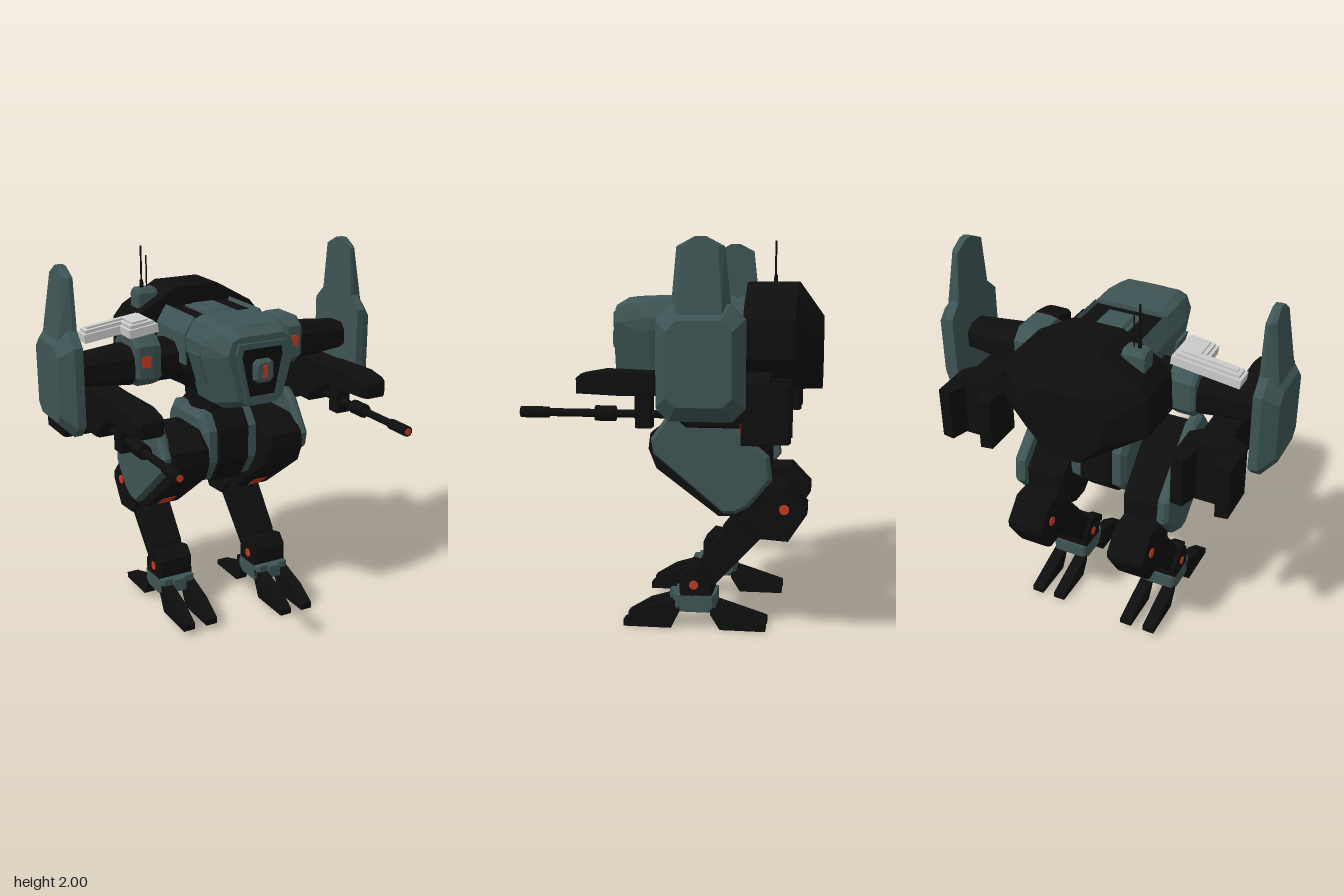
import * as THREE from 'three';
import { ConvexGeometry } from 'three/addons/geometries/ConvexGeometry.js';

const paint = (name, color) => {
  const m = new THREE.MeshStandardMaterial({ color });
  m.name = name;
  return m;
};

export function createModel() {
  const model = new THREE.Group();
  model.name = 'walkerRobot';
  const black = paint('black', 0x0e0e0e), teal = paint('slateTeal', 0x3e5454);
  const red = paint('signalRed', 0xc63a20), grey = paint('lightGrey', 0xcccccc);

  const add = (parent, name, mat, geo) => {
    const mesh = new THREE.Mesh(geo, mat);
    mesh.name = name;
    parent.add(mesh);
    return mesh;
  };
  const group = (name, parent = model) => {
    const g = new THREE.Group();
    g.name = name;
    parent.add(g);
    return g;
  };
  const hull = (parent, name, mat, pts) =>
    add(parent, name, mat, new ConvexGeometry(pts.map((p) => new THREE.Vector3(...p))));
  // box given by its limits
  const box = (parent, name, mat, [x0, x1], [y0, y1], [z0, z1]) => {
    const m = add(parent, name, mat, new THREE.BoxGeometry(Math.abs(x1 - x0), y1 - y0, z1 - z0));
    m.position.set((x0 + x1) / 2, (y0 + y1) / 2, (z0 + z1) / 2);
    return m;
  };
  const rod = (parent, name, mat, axis, r, len, pos, sides = 10) => {
    const g = new THREE.CylinderGeometry(r, r, len, sides);
    if (axis === 'x') g.rotateZ(Math.PI / 2);
    if (axis === 'z') g.rotateX(Math.PI / 2);
    const m = add(parent, name, mat, g);
    m.position.set(...pos);
    return m;
  };
  // side profile [z, y] lofted across x; levels are [x, scale about the centre]
  const slab = (parent, name, mat, profile, levels) => {
    const mid = (i) => {
      const v = profile.map((p) => p[i]);
      return (Math.min(...v) + Math.max(...v)) / 2;
    };
    const cz = mid(0), cy = mid(1);
    return hull(parent, name, mat, levels.flatMap(([x, k]) =>
      profile.map(([z, y]) => [x, cy + (y - cy) * k, cz + (z - cz) * k])));
  };
  // half outline [x, y] mirrored at depth z
  const ring = (half, z) => half.flatMap(([x, y]) => [[x, y, z], [-x, y, z]]);

  // --- torso ---
  const torso = group('torso');
  const rear = [[0.13, 1.78], [0.33, 1.665], [0.385, 1.6], [0.395, 1.4], [0.08, 1.225]];
  hull(torso, 'rearHull', black, [...ring(rear, -0.34), ...ring(rear, -0.6),
    ...ring([[0.13, 1.6], [0.22, 1.5], [0.2, 1.36], [0.08, 1.23]], -0.73)]);
  const fore = [[0.19, 1.68], [0.24, 1.6], [0.24, 1.42], [0.12, 1.25]];
  hull(torso, 'foreHull', black, [...ring(fore, -0.36), ...ring(fore, 0.02)]);
  box(torso, 'waist', black, [-0.09, 0.09], [1.1, 1.3], [-0.32, -0.02]);
  slab(torso, 'roofHatch', teal, [[-0.31, 1.66], [-0.31, 1.69], [-0.05, 1.69], [-0.05, 1.66]],
    [[-0.09, 1], [0.09, 1]]);
  hull(torso, 'hatchCap', teal, [...ring([[0.06, 1.705]], -0.27), ...ring([[0.06, 1.705]], -0.09),
    ...ring([[0.08, 1.68]], -0.3), ...ring([[0.08, 1.68]], -0.06)]);
  for (const s of [1, -1])
    hull(torso, 'roofTrim', teal, [-0.33, 0].flatMap((z) =>
      [[0.185, 1.68], [0.195, 1.70], [0.25, 1.61], [0.25, 1.45], [0.235, 1.45]].map(([x, y]) => [x * s, y, z])));

  // --- head ---
  const head = group('head');
  const wide = [[0.15, 1.705], [0.2, 1.685], [0.245, 1.6], [0.24, 1.52], [0.175, 1.28], [0.11, 1.24]];
  const nose = [[0.12, 1.66], [0.165, 1.64], [0.19, 1.57], [0.125, 1.33], [0.08, 1.3]];
  hull(head, 'headShell', teal, [...ring(wide, 0), ...ring(wide, 0.16),
    ...ring([[0.14, 1.70], [0.19, 1.67]], 0.28), ...ring(nose, 0.35)]);
  const trapezoid = (k) => [[-0.11, 0.12], [0.11, 0.12], [0.12, 0.08], [0.075, -0.13], [-0.075, -0.13], [-0.12, 0.08]]
    .map(([x, y]) => new THREE.Vector2(x * k, 1.48 + y * k));
  const frame = new THREE.Shape(trapezoid(1.22));
  frame.holes.push(new THREE.Path(trapezoid(0.98)));
  add(head, 'windowFrame', teal, new THREE.ExtrudeGeometry(frame, { depth: 0.02, bevelEnabled: false })).position.z = 0.345;
  add(head, 'window', black, new THREE.ExtrudeGeometry(new THREE.Shape(trapezoid(1)),
    { depth: 0.008, bevelEnabled: false })).position.z = 0.347;
  const eye = [[0.035, 1.54], [0.055, 1.52], [0.055, 1.44], [0.035, 1.42]];
  hull(head, 'sensor', teal, [...ring(eye, 0.35), ...ring(eye, 0.375),
    ...ring([[0.03, 1.525], [0.04, 1.51], [0.04, 1.45], [0.03, 1.435]], 0.39)]);
  box(head, 'sensorSlit', red, [-0.013, 0.013], [1.45, 1.515], [0.387, 0.394]);
  const lid = box(head, 'browPanel', teal, [-0.07, 0.07], [1.685, 1.695], [0.22, 0.29]);
  lid.position.y = 1.695;
  lid.rotation.x = 0.12;
  for (const s of [1, -1])
    hull(head, 'cheekPanel', teal, [[0.246, 1.54, 0.04], [0.246, 1.54, 0.16], [0.2, 1.38, 0.04], [0.2, 1.38, 0.16],
      [0.225, 1.54, 0.04], [0.225, 1.54, 0.16], [0.18, 1.38, 0.04], [0.18, 1.38, 0.16]].map(([x, y, z]) => [(x + 0.012) * s, y, z]));

  // --- antenna box ---
  const mast = group('antennaBox');
  slab(mast, 'antennaHousing', teal, [[-0.51, 1.6], [-0.51, 1.75], [-0.49, 1.775], [-0.43, 1.775], [-0.41, 1.75], [-0.41, 1.6]],
    [[-0.32, 0.9], [-0.305, 1], [-0.215, 1], [-0.2, 0.9]]);
  rod(mast, 'tallAntenna', black, 'y', 0.005, 0.24, [-0.275, 1.88, -0.46], 6);
  rod(mast, 'shortAntenna', black, 'y', 0.004, 0.19, [-0.245, 1.85, -0.46], 6);
  rod(mast, 'antennaFoot', black, 'y', 0.01, 0.05, [-0.275, 1.79, -0.46], 6);

  // --- L-shaped launcher on the right arm ---
  const launcher = group('launcher');
  launcher.position.set(-0.54, 1.63, -0.2);
  launcher.rotation.z = 0.13;
  const ell = (a) => new THREE.Shape([[-0.18 + a, 0.1 - a], [0.18 - a, 0.1 - a], [0.18 - a, -0.12 + a],
    [0.02 + a, -0.12 + a], [0.02 + a, 0 + a], [-0.18 + a, 0 + a]].map((p) => new THREE.Vector2(...p)));
  [[0, -0.03, 0.045], [0.015, 0.01, 0.022], [0.035, 0.03, 0.012]].forEach(([inset, y, depth]) => {
    const g = new THREE.ExtrudeGeometry(ell(inset), { depth, bevelEnabled: false }).rotateX(-Math.PI / 2);
    add(launcher, 'launcherLayer', grey, g).position.y = y;
  });

  // --- pelvis ---
  const pelvis = group('pelvis');
  const hip = [[-0.34, 1.16], [0, 1.16], [0.06, 1.08], [0.06, 0.9], [-0.02, 0.78], [-0.3, 0.78], [-0.4, 0.88], [-0.4, 1.08]];
  slab(pelvis, 'pelvisCore', black, hip.map(([z, y]) => [z * 1.05 + 0.01, 0.97 + (y - 0.97) * 1.06]),
    [[-0.095, 0.95], [-0.08, 1], [0.08, 1], [0.095, 0.95]]);
  rod(pelvis, 'hipAxle', black, 'x', 0.09, 0.44, [0, 0.98, -0.14]);
  rod(pelvis, 'waistRing', black, 'y', 0.13, 0.1, [0, 1.2, -0.17], 12);

  for (const s of [1, -1]) {
    const side = s > 0 ? 'left' : 'right';
    const lv = (...levels) => levels.map(([x, k]) => [x * s, k]);
    const xs = (a, b) => [a * s, b * s];
    slab(pelvis, 'hipPlate', teal, hip, lv([0.085, 1], [0.14, 1], [0.165, 0.85]));

    // --- arm ---
    const arm = group(side + 'Arm');
    const collar = [[-0.33, 1.4], [-0.33, 1.55], [-0.27, 1.61], [-0.11, 1.61], [-0.05, 1.56], [-0.05, 1.39], [-0.1, 1.345], [-0.28, 1.345]];
    slab(arm, 'shoulderCollar', teal, collar, lv([0.36, 0.95], [0.4, 1], [0.48, 1], [0.5, 0.92]));
    box(arm, 'collarLamp', red, xs(0.42, 0.47), [1.45, 1.51], [-0.052, -0.044]);
    slab(arm, 'upperArm', black, [[-0.3, 1.39], [-0.3, 1.5], [-0.25, 1.55], [-0.12, 1.55], [-0.07, 1.5], [-0.07, 1.39], [-0.12, 1.35], [-0.25, 1.35]],
      lv([0.2, 1], [0.5, 1], [0.83, 0.72]));
    slab(arm, 'shoulderShield', teal, [[0.02, 1.62], [-0.05, 1.69], [-0.325, 1.69], [-0.395, 1.62], [-0.395, 1.21],
      [-0.335, 1.15], [-0.04, 1.15], [0.02, 1.21]], lv([0.815, 1], [0.86, 1], [0.93, 0.73]));
    const fin = [[-0.05, 1.6], [-0.05, 1.68], [-0.075, 1.95], [-0.16, 1.995], [-0.21, 1.995], [-0.295, 1.95], [-0.325, 1.68], [-0.325, 1.6]];
    hull(arm, 'shieldFin', teal, fin.flatMap(([z, y]) =>
      [[0.815 * s, y, z], [0.835 * s, y, z], [(0.855 + (2 - y) * 0.14) * s, y, -0.187 + (z + 0.187) * 0.75]]));

    // --- gun under the arm ---
    const gun = group(side + 'Gun', arm);
    hull(gun, 'gunBlock', black, [-0.37, -0.5].flatMap((z) =>
      [[0.5, 1.04], [0.52, 1.03], [0.78, 1.03], [0.8, 1.04], [0.8, 1.32], [0.72, 1.36], [0.58, 1.36], [0.5, 1.32]].map(([x, y]) => [x * s, y, z])));
    for (const [a, b, c] of [[0.5, 0.6, 0.565], [0.8, 0.7, 0.735]])
      hull(gun, 'blockProng', black, [1.04, 1.32].flatMap((y) =>
        [[a * s, y, -0.49], [b * s, y, -0.49], [c * s, y, -0.6], [a * s, y, -0.59]]));
    slab(gun, 'gunSpine', black, [[-0.4, 1.1], [-0.4, 1.36], [0.04, 1.36], [0.04, 1.22], [-0.1, 1.1]],
      lv([0.57, 0.92], [0.59, 1], [0.7, 1], [0.72, 0.92]));
    slab(gun, 'gunCasing', black, [[0.0, 1.25], [0.0, 1.36], [0.3, 1.37], [0.41, 1.35], [0.435, 1.33], [0.435, 1.255], [0.2, 1.245]],
      lv([0.575, 0.9], [0.6, 1], [0.7, 1], [0.725, 0.9]));
    box(gun, 'barrelBracket', black, xs(0.61, 0.69), [1.09, 1.27], [0.07, 0.15]);
    rod(gun, 'barrel', black, 'z', 0.02, 0.98, [0.65 * s, 1.155, 0.11]);
    rod(gun, 'barrelCollar', black, 'z', 0.038, 0.1, [0.65 * s, 1.155, 0.3]);
    rod(gun, 'muzzle', black, 'z', 0.028, 0.14, [0.65 * s, 1.155, 0.653]);
    rod(gun, 'muzzleTip', red, 'z', 0.018, 0.006, [0.65 * s, 1.155, 0.724]);
    rod(gun, 'gunMount', black, 'y', 0.06, 0.16, [0.65 * s, 1.4, -0.19], 8);
    for (const x of [0.535, 0.755]) {
      box(gun, 'gunLamp', red, xs(x - 0.012, x + 0.012), [1.27, 1.3], [-0.373, -0.365]);
      box(gun, 'gunLightBar', red, xs(x - 0.01, x + 0.01), [1.08, 1.19], [-0.373, -0.365]);
    }

    // --- leg ---
    const leg = group(side + 'Leg');
    slab(leg, 'thigh', black, [[0.14, 0.94], [0.13, 1.02], [0.02, 1.1], [-0.2, 1.1], [-0.45, 0.86], [-0.45, 0.7],
      [-0.32, 0.6], [-0.22, 0.6], [0.1, 0.84]], lv([0.175, 0.94], [0.2, 1], [0.375, 1], [0.395, 0.97]));
    slab(leg, 'thighArmour', teal, [[0.12, 1.0], [0.0, 1.17], [-0.06, 1.215], [-0.15, 1.2], [-0.48, 0.92], [-0.495, 0.8],
      [-0.38, 0.66], [-0.31, 0.625], [-0.25, 0.625], [0.105, 0.92]], lv([0.385, 0.97], [0.405, 1], [0.425, 1], [0.445, 0.94]));
    const tag = box(leg, 'thighLamp', red, xs(0.25, 0.33), [0.636, 0.644], [-0.22, -0.12]);
    tag.rotation.x = -0.64;
    slab(leg, 'knee', black, [[-0.565, 0.77], [-0.67, 0.66], [-0.67, 0.62], [-0.575, 0.475], [-0.42, 0.485], [-0.335, 0.57],
      [-0.36, 0.7], [-0.46, 0.77]], lv([0.19, 0.93], [0.21, 1], [0.37, 1], [0.39, 0.95]));
    rod(leg, 'kneeAxle', red, 'x', 0.026, 0.212, [0.29 * s, 0.645, -0.555], 12);

    // --- shin and foot, the right one slightly raised ---
    const lower = group(side + 'LowerLeg', leg);
    if (s < 0) lower.position.set(0, 0.035, -0.05);
    slab(lower, 'shin', black, [[-0.36, 0.66], [-0.12, 0.35], [-0.08, 0.22], [-0.17, 0.2], [-0.21, 0.27], [-0.45, 0.5]],
      lv([0.205, 0.97], [0.22, 1], [0.355, 1], [0.37, 0.97]));
    slab(lower, 'ankle', black, [[-0.02, 0.28], [-0.07, 0.335], [-0.12, 0.325], [-0.19, 0.25], [-0.19, 0.17], [-0.02, 0.17]],
      lv([0.19, 0.92], [0.205, 1], [0.375, 1], [0.39, 0.92]));
    rod(lower, 'ankleAxle', red, 'x', 0.024, 0.208, [0.29 * s, 0.235, -0.095], 12);
    slab(lower, 'footBlock', teal, [[0.015, 0.185], [-0.205, 0.185], [-0.205, 0.11], [-0.17, 0.085], [-0.02, 0.085], [0.015, 0.11]],
      lv([0.19, 0.88], [0.205, 1], [0.375, 1], [0.39, 0.88]));
    box(lower, 'footLatch', teal, xs(0.255, 0.325), [0.115, 0.185], [0, 0.04]);
    for (const [a, b] of [[0.19, 0.255], [0.325, 0.39]]) {
      slab(lower, 'toe', black, [[0.275, 0], [0.275, 0.035], [0.16, 0.105], [-0.02, 0.16], [-0.02, 0.09], [0.025, 0]], lv([a, 1], [b, 1]));
      slab(lower, 'heel', black, [[-0.465, 0], [-0.465, 0.03], [-0.34, 0.07], [-0.18, 0.12], [-0.18, 0.08], [-0.23, 0]], lv([a, 1], [b, 1]));
    }
  }
  return model;
}
